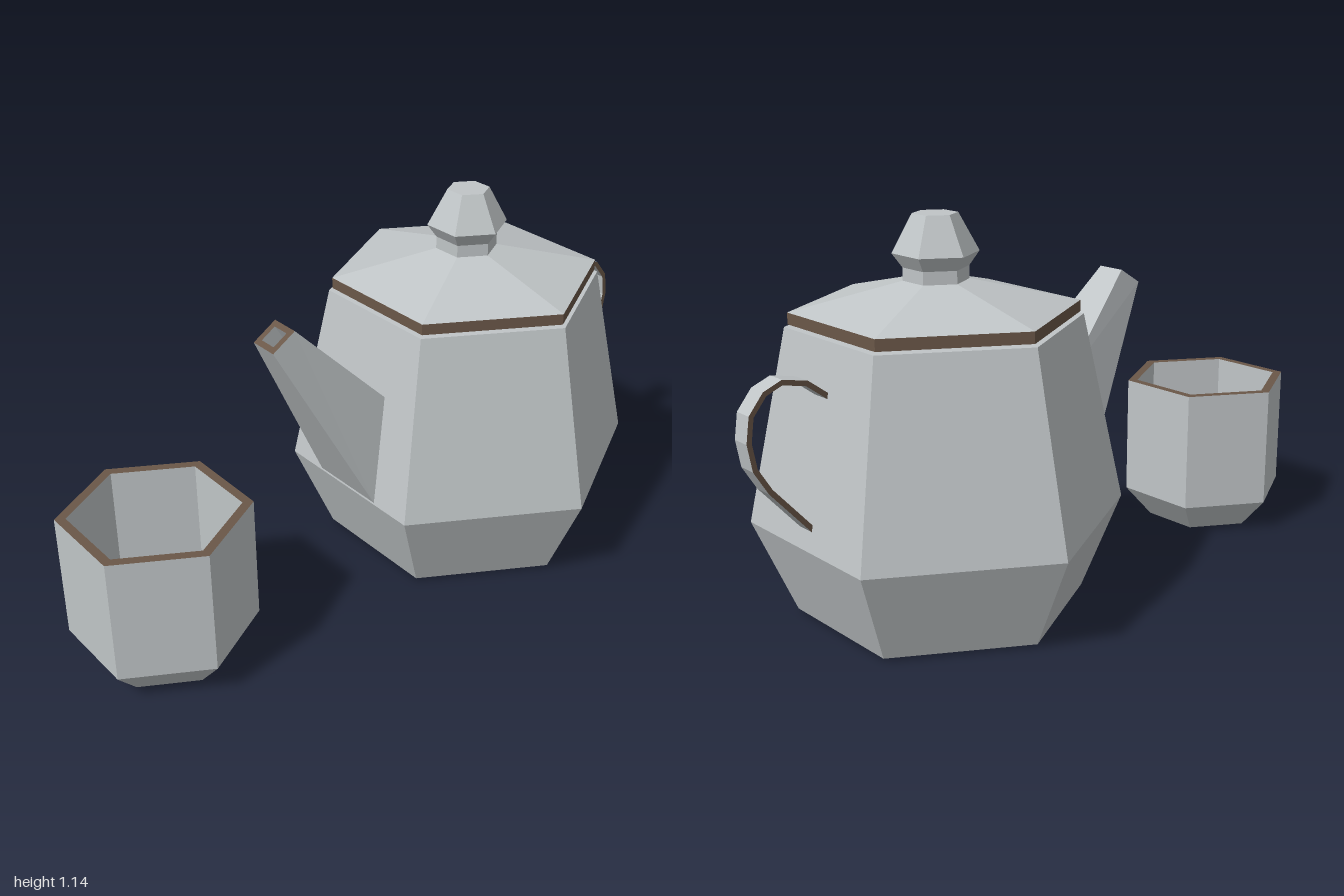
import * as THREE from 'three';

export function createModel() {
  const ceramic = new THREE.MeshStandardMaterial({ color: 0xc0c5c7 });
  ceramic.name = 'paleGrey';
  const trim = new THREE.MeshStandardMaterial({ color: 0x6a5748 });
  trim.name = 'brownTrim';

  const model = new THREE.Group();
  const pot = new THREE.Group();
  pot.name = 'teapot';
  const cup = new THREE.Group();
  cup.name = 'cup';
  model.add(pot, cup);

  const add = (parent, name, geometry, material) => {
    const mesh = new THREE.Mesh(geometry, material);
    mesh.name = name;
    parent.add(mesh);
    return mesh;
  };

  // Six-sided faceted solid from a [radius, height] profile
  const hex = (profile) => {
    const g = new THREE.LatheGeometry(profile.map(([r, y]) => new THREE.Vector2(r, y)), 6).toNonIndexed();
    g.computeVertexNormals();
    return g;
  };

  // Faceted strip of quads joining two four-cornered rings
  const facets = (quads) => {
    const pts = quads.flatMap(([a, b, c, d]) => [a, b, c, a, c, d]);
    const g = new THREE.BufferGeometry().setFromPoints(pts);
    g.computeVertexNormals();
    return g;
  };
  const join = (a, b) => a.map((p, i) => [p, a[(i + 1) % 4], b[(i + 1) % 4], b[i]]);

  // Teapot body and lid
  const potX = 0.365;
  add(pot, 'body', hex([[0, 0.01], [0.42, 0.01], [0.54, 0.287], [0.42, 0.845], [0, 0.845]]), ceramic).position.x = potX;
  add(pot, 'lidBand', hex([[0, 0.852], [0.41, 0.852], [0.41, 0.885]]), trim).position.x = potX;
  add(pot, 'lid', hex([[0.41, 0.885], [0.093, 0.96]]), ceramic).position.x = potX;
  add(pot, 'lidKnob', hex([
    [0.093, 0.96], [0.093, 0.997], [0.122, 1.037], [0.064, 1.145], [0, 1.145],
  ]), ceramic).position.x = potX;

  // Spout: trapezoid section tapering to a square, hollow tip
  const ring = (lowX, lowY, lowW, topX, topY, topW) => [
    new THREE.Vector3(lowX, lowY, -lowW), new THREE.Vector3(lowX, lowY, lowW),
    new THREE.Vector3(topX, topY, topW), new THREE.Vector3(topX, topY, -topW),
  ];
  const root = ring(-0.1, 0.29, 0.128, -0.04, 0.625, 0.102);
  const tip = ring(-0.39, 0.86, 0.046, -0.315, 0.907, 0.046);
  const centre = new THREE.Vector3(-0.3525, 0.8835, 0);
  const mouth = tip.map((p) => p.clone().lerp(centre, 0.4));
  const inward = new THREE.Vector3(0.042, -0.068, 0);
  const well = mouth.map((p) => p.clone().add(inward));
  add(pot, 'spout', facets(join(root, tip)), ceramic);
  add(pot, 'spoutRim', facets(join(tip, mouth)), trim);
  add(pot, 'spoutHole', facets([...join(mouth, well), well]), ceramic);

  // Handle: thin bent strap with brown edges
  const path = [
    [0.745, 0.7], [0.815, 0.752], [0.888, 0.768], [0.94, 0.747], [0.982, 0.695],
    [0.992, 0.626], [0.979, 0.552], [0.938, 0.485], [0.815, 0.347],
  ].map(([x, y]) => new THREE.Vector2(x, y));
  const offset = (d) => path.map((p, i) => {
    const t = path[Math.min(i + 1, path.length - 1)].clone().sub(path[Math.max(i - 1, 0)]).normalize();
    return new THREE.Vector2(p.x - t.y * d, p.y + t.x * d);
  });
  const strap = new THREE.Shape([...offset(0.0075), ...offset(-0.0075).reverse()]);
  const handle = add(pot, 'handle',
    new THREE.ExtrudeGeometry(strap, { depth: 0.058, bevelEnabled: false }), [trim, ceramic]);
  handle.position.z = -0.033;

  // Hollow cup with a brown rim
  add(cup, 'cupOutside', hex([[0, 0], [0.183, 0], [0.271, 0.1], [0.271, 0.48]]), ceramic);
  add(cup, 'cupRim', hex([[0.271, 0.48], [0.24, 0.48]]), trim);
  add(cup, 'cupInside', hex([[0.24, 0.48], [0.24, 0.12], [0.16, 0.04], [0, 0.04]]), ceramic);
  cup.position.set(-0.765, 0, -0.01);

  return model;
}
